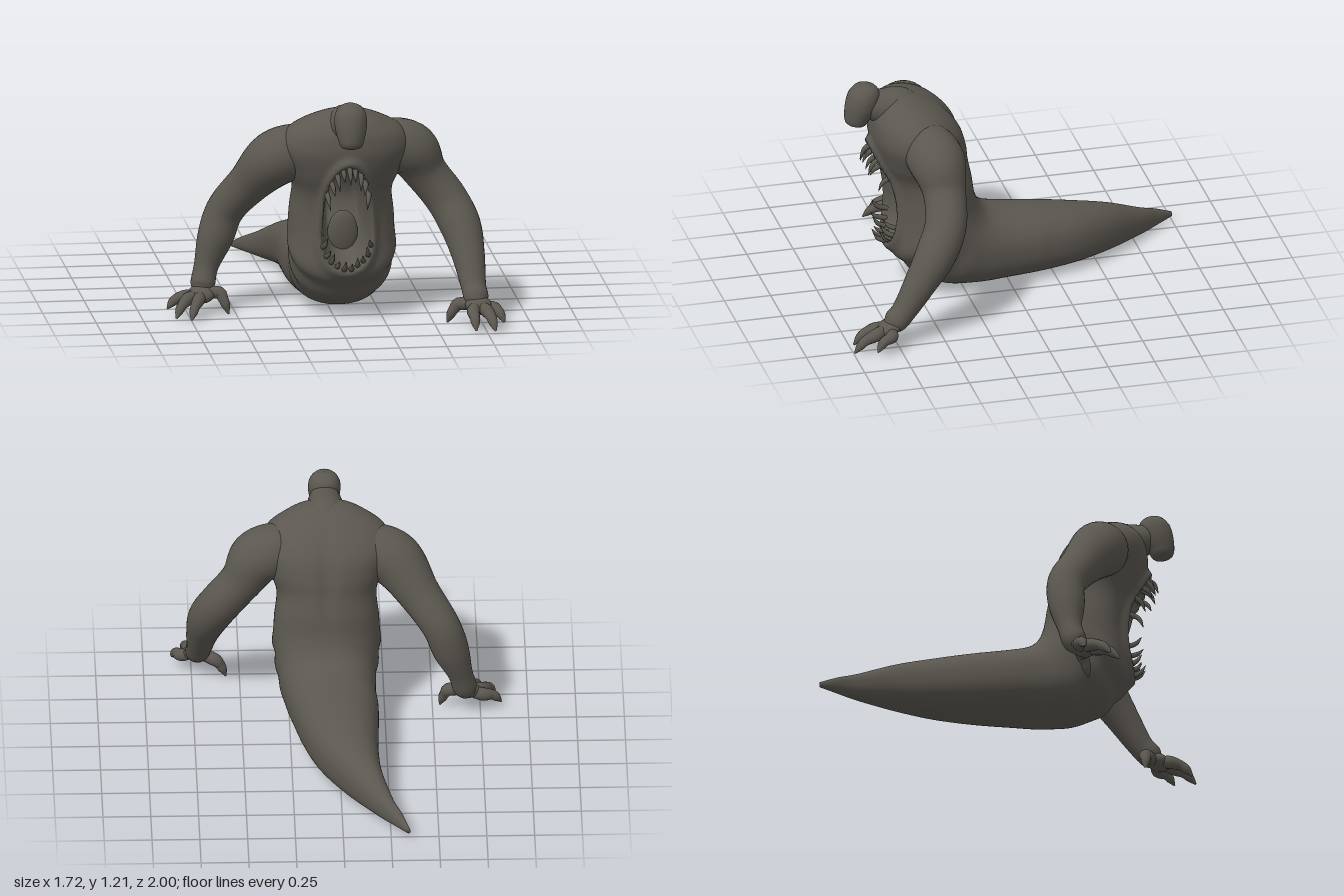
import * as THREE from 'three';
import { mergeVertices } from 'three/addons/utils/BufferGeometryUtils.js';

const CX = 0.055; // middle of the torso
const skin = new THREE.MeshStandardMaterial({ color: 0x5b5750 });
skin.name = 'dark grey skin';

const gauss = (v, w) => Math.exp(-(v * v) / (w * w));
const softPow = (v, p) => Math.sign(v) * Math.pow(Math.abs(v), p);
const { smoothstep, lerp, degToRad } = THREE.MathUtils;

function add(parent, name, geometry) {
  const mesh = new THREE.Mesh(geometry, skin);
  mesh.name = name;
  parent.add(mesh);
  return mesh;
}

// Round limb through points [x, y, z, radius]
function limb(points, steps = 40, sides = 20) {
  const curve = new THREE.CatmullRomCurve3(points.map(p => new THREE.Vector3(p[0], p[1], p[2])), false, 'catmullrom');
  const radii = new THREE.CatmullRomCurve3(points.map(p => new THREE.Vector3(p[3], 0, 0)), false, 'catmullrom');
  let geo = new THREE.TubeGeometry(curve, steps, 1, sides, false);
  const pos = geo.attributes.position, v = new THREE.Vector3();
  for (let j = 0; j <= steps; j++) {
    const centre = curve.getPointAt(j / steps);
    const r = Math.max(0.001, radii.getPoint(curve.getUtoTmapping(j / steps)).x);
    for (let i = 0; i <= sides; i++) {
      const k = j * (sides + 1) + i;
      v.fromBufferAttribute(pos, k).sub(centre).multiplyScalar(r).add(centre);
      pos.setXYZ(k, v.x, v.y, v.z);
    }
  }
  geo.deleteAttribute('uv');
  geo.deleteAttribute('normal');
  geo = mergeVertices(geo, 1e-5);
  geo.computeVertexNormals();
  return geo;
}

function ellipsoid(parent, name, centre, size, tilt) {
  const mesh = add(parent, name, new THREE.SphereGeometry(1, 32, 24));
  mesh.position.set(...centre);
  mesh.scale.set(...size);
  mesh.rotation.x = tilt;
}

// Mouth outline: a tall rounded opening, wider at the lower jaw; 1 on the lip
const MOUTH_Y = 0.57, MOUTH_H = 0.285;
const mouthWidth = y => 0.15 - 0.045 * (y - 0.3) / 0.55;
const mouthDist = (x, y) => ((x - CX) / mouthWidth(y)) ** 2 + Math.abs((y - MOUTH_Y) / MOUTH_H) ** 3;

// Tail, belly and chest in one skin: [back z, back y, front z, front y, right x, left x]
function bodyGeometry() {
  const sections = [
    [-1.0, 0.055, -1.0, 0.03, -0.352, -0.33],
    [-0.9, 0.11, -0.91, 0.025, -0.315, -0.25],
    [-0.8, 0.16, -0.8, 0.02, -0.27, -0.155],
    [-0.6, 0.26, -0.6, 0.02, -0.215, 0.01],
    [-0.4, 0.32, -0.4, 0.015, -0.20, 0.13],
    [-0.2, 0.36, -0.2, 0.01, -0.205, 0.2],
    [0.0, 0.39, 0.02, 0.01, -0.21, 0.25],
    [0.1, 0.42, 0.22, 0.015, -0.2, 0.285],
    [0.15, 0.47, 0.42, 0.055, -0.205, 0.31],
    [0.175, 0.53, 0.55, 0.15, -0.22, 0.325],
    [0.185, 0.58, 0.63, 0.27, -0.23, 0.335],
    [0.195, 0.65, 0.615, 0.48, -0.22, 0.325],
    [0.215, 0.75, 0.64, 0.66, -0.21, 0.315],
    [0.23, 0.85, 0.69, 0.78, -0.25, 0.36],
    [0.27, 0.96, 0.725, 0.9, -0.29, 0.4],
    [0.36, 1.06, 0.725, 0.98, -0.25, 0.36],
    [0.48, 1.125, 0.715, 1.03, -0.15, 0.26],
    [0.58, 1.145, 0.69, 1.07, -0.05, 0.16],
    [0.63, 1.11, 0.65, 1.1, 0.05, 0.06],
  ];
  const a = new THREE.CatmullRomCurve3(sections.map(s => new THREE.Vector3(s[0], s[1], s[2])), false, 'catmullrom');
  const b = new THREE.CatmullRomCurve3(sections.map(s => new THREE.Vector3(s[3], s[4], s[5])), false, 'catmullrom');
  const rings = 180, sides = 112, verts = [], index = [];
  for (let j = 0; j <= rings; j++) {
    const t = j / rings, p = a.getPoint(t), q = b.getPoint(t);
    const midX = (q.y + q.z) / 2, midY = (p.y + q.x) / 2, midZ = (p.x + p.z) / 2;
    // boxier belly, rounder chest
    const power = lerp(0.85, 1, smoothstep(t, 0.68, 0.82));
    for (let i = 0; i < sides; i++) {
      const ang = i / sides * Math.PI * 2;
      const c = softPow(Math.cos(ang), 0.92), s = softPow(Math.sin(ang), power);
      // skin folds under the jaw
      const fold = 1 + 0.022 * Math.sin(t * 95) * gauss(t - 0.5, 0.09) * smoothstep(s, -0.5, 0.4);
      // groove along the spine
      const spine = s < 0 ? 0.07 * gauss(c, 0.16) * gauss(t - 0.74, 0.14) : 0;
      const depth = (s + spine) * fold;
      const x = midX + (q.z - q.y) / 2 * c * fold;
      const y = midY + (q.x - p.y) / 2 * depth;
      let z = midZ + (p.z - p.x) / 2 * depth;
      // hollow gullet, shallower over the jaw, and raised lip
      if (s > 0 && t > 0.45) {
        const d = mouthDist(x, y);
        z -= lerp(0.18, 0.27, smoothstep(y, 0.4, 0.65)) * smoothstep(1 - d, 0, 0.65);
        z += 0.03 * gauss(Math.sqrt(d) - 1.1, 0.15);
      }
      verts.push(x, y, z);
      if (j < rings) {
        const n = (i + 1) % sides, k = j * sides;
        index.push(k + i, k + sides + i, k + n, k + n, k + sides + i, k + sides + n);
      }
    }
  }
  // closed ends
  for (let i = 1; i < sides - 1; i++) {
    const k = rings * sides;
    index.push(0, i, i + 1, k, k + i + 1, k + i);
  }
  const geo = new THREE.BufferGeometry();
  geo.setAttribute('position', new THREE.Float32BufferAttribute(verts, 3));
  geo.setIndex(index);
  geo.computeVertexNormals();
  return geo;
}

// Front skin depth at a given x and y
function frontZ(geo, x, y) {
  const p = geo.attributes.position;
  let best = 1, z = 0;
  for (let i = 0; i < p.count; i++) {
    const d = (p.getX(i) - x) ** 2 + (p.getY(i) - y) ** 2;
    if (p.getZ(i) > 0.42 && d < best) { best = d; z = p.getZ(i); }
  }
  return z;
}

// Curved fangs along the lip between two angles
function addTeeth(parent, body, name, from, to, count, length, forward) {
  for (let i = 0; i < count; i++) {
    const ang = degToRad(from + (to - from) * i / (count - 1));
    const y = MOUTH_Y + MOUTH_H * 0.98 * softPow(Math.sin(ang), 2 / 3);
    const x = CX + mouthWidth(y) * 0.98 * Math.cos(ang);
    const z = frontZ(body, x, y), size = length * (i % 2 ? 0.75 : 1);
    const ix = (CX - x) * 0.12, iy = Math.sign(MOUTH_Y - y) * size;
    add(parent, name, limb([
      [x - ix * 0.3, y - iy * 0.2, z - 0.03, 0.014],
      [x + ix * 0.3, y + iy * 0.25, z + forward * 0.5, 0.013],
      [x + ix, y + iy, z + forward, 0.001]], 8, 8));
  }
}

function addArm(parent, side, path, palm, fingers) {
  const arm = new THREE.Group();
  arm.name = side + 'Arm';
  add(arm, 'arm', limb(path, 60, 28));
  ellipsoid(arm, 'palm', palm, [0.07, 0.042, 0.07], 0.3);
  for (const [knuckle, tip, r] of fingers) {
    const mix = (k, up) => [0, 1, 2].map(n => lerp(knuckle[n], tip[n], k) + (n === 1 ? up : 0));
    add(arm, 'finger', limb([
      [...palm, r * 0.9], [...knuckle, r * 1.15], [...mix(0.5, 0.02), r * 0.9],
      [...mix(0.75, 0.015), r * 0.75], [...tip, 0.004]], 20, 12));
  }
  parent.add(arm);
}

export function createModel() {
  const model = new THREE.Group();
  model.name = 'creature';
  const body = bodyGeometry();
  add(model, 'body', body);

  // neck and smooth hooded head
  add(model, 'neck', limb([[CX, 1.0, 0.42, 0.06], [CX, 1.05, 0.56, 0.105], [CX, 1.07, 0.66, 0.095], [CX, 1.095, 0.75, 0.07]]));
  add(model, 'head', limb([
    [CX, 0.972, 0.808, 0.002], [CX, 0.985, 0.806, 0.05], [CX, 1.03, 0.798, 0.07], [CX, 1.09, 0.778, 0.084],
    [CX, 1.15, 0.758, 0.082], [CX, 1.195, 0.75, 0.056], [CX, 1.215, 0.748, 0.002]], 48, 28));

  // mouth
  ellipsoid(model, 'tongue', [CX, 0.44, 0.44], [0.08, 0.125, 0.035], 0.1);
  addTeeth(model, body, 'upperTooth', 18, 162, 9, 0.075, 0.05);
  addTeeth(model, body, 'lowerTooth', 205, 335, 10, 0.06, 0.065);

  // planted right arm, reaching sideways
  addArm(model, 'right', [
    [0.0, 0.93, 0.48, 0.06], [-0.14, 0.91, 0.48, 0.13], [-0.3, 0.855, 0.455, 0.148], [-0.43, 0.7, 0.36, 0.112],
    [-0.54, 0.55, 0.285, 0.1], [-0.595, 0.4, 0.285, 0.095], [-0.645, 0.25, 0.3, 0.065], [-0.67, 0.15, 0.33, 0.062],
    [-0.69, 0.11, 0.37, 0.02]], [-0.68, 0.115, 0.365], [
    [[-0.76, 0.1, 0.345], [-0.86, 0.04, 0.37], 0.03],
    [[-0.75, 0.1, 0.4], [-0.83, 0.02, 0.51], 0.03],
    [[-0.7, 0.1, 0.43], [-0.755, 0.02, 0.56], 0.029],
    [[-0.59, 0.12, 0.365], [-0.54, 0.01, 0.4], 0.03]]);

  // planted left arm, reaching forward
  addArm(model, 'left', [
    [0.11, 0.93, 0.48, 0.06], [0.25, 0.92, 0.48, 0.13], [0.405, 0.88, 0.455, 0.148], [0.495, 0.75, 0.44, 0.114],
    [0.6, 0.61, 0.46, 0.11], [0.665, 0.48, 0.53, 0.107], [0.695, 0.34, 0.62, 0.086], [0.71, 0.2, 0.71, 0.066],
    [0.72, 0.14, 0.77, 0.062], [0.73, 0.11, 0.82, 0.02]], [0.725, 0.115, 0.8], [
    [[0.69, 0.1, 0.86], [0.69, 0.02, 0.98], 0.03],
    [[0.76, 0.1, 0.87], [0.79, 0.02, 1.0], 0.03],
    [[0.8, 0.1, 0.8], [0.85, 0.04, 0.89], 0.029],
    [[0.635, 0.11, 0.735], [0.57, 0.01, 0.73], 0.03]]);

  return model;
}
